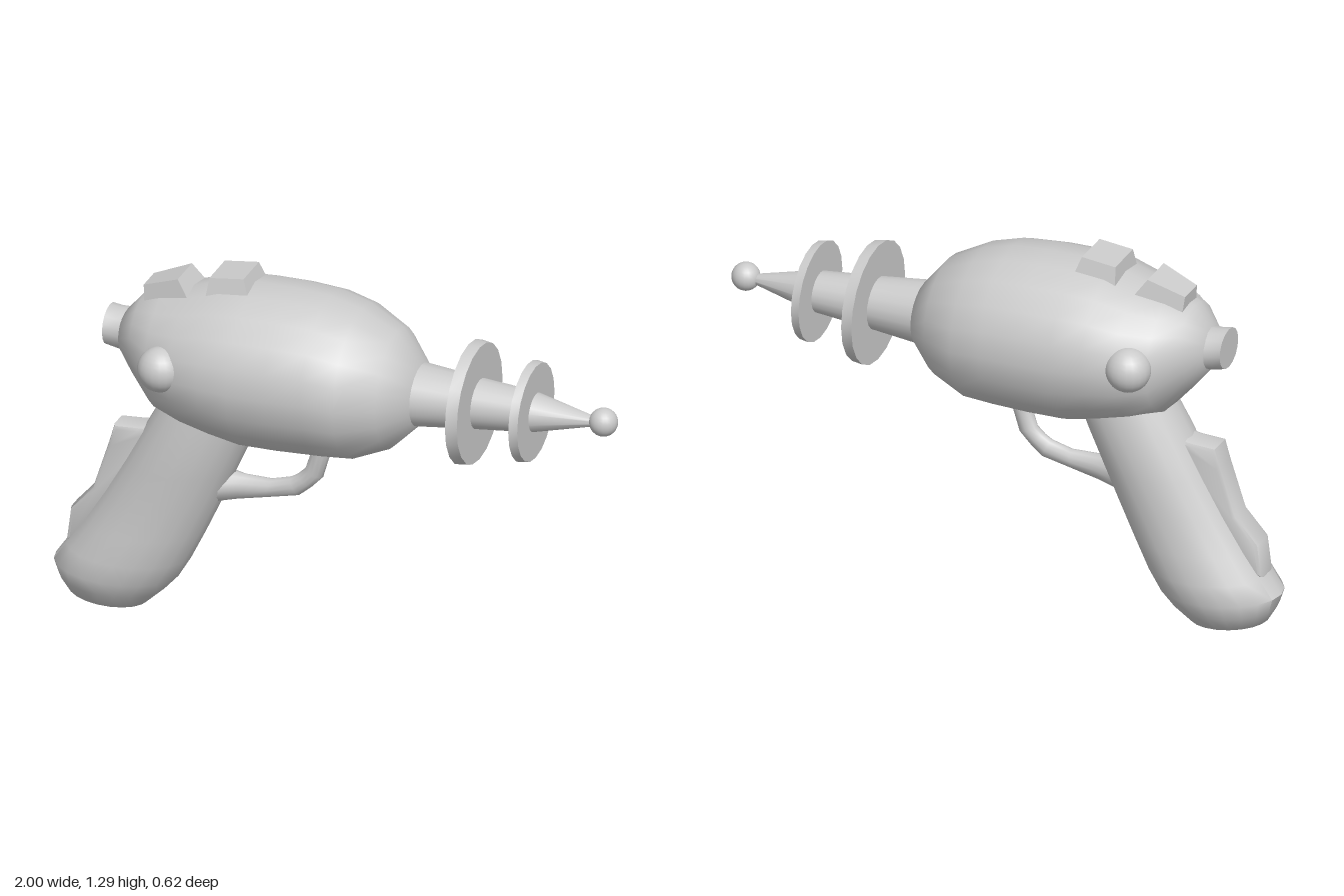
import * as THREE from 'three';
import { toCreasedNormals } from 'three/addons/utils/BufferGeometryUtils.js';

const material = new THREE.MeshStandardMaterial({ color: 0xcccccc });

function part(name, geometry, parent) {
  const mesh = new THREE.Mesh(geometry, material);
  mesh.name = name;
  parent.add(mesh);
  return mesh;
}

// Skin through elliptical rings [ax, ay, bx, by, halfWidth]: a and b are
// opposite points on the centre plane, halfWidth is measured along z.
function loft(rings, sides, crease = 0.9) {
  const pos = [], index = [];
  for (const [ax, ay, bx, by, w] of rings) {
    for (let j = 0; j < sides; j++) {
      const t = (j / sides) * Math.PI * 2;
      const c = Math.cos(t) / 2;
      pos.push((ax + bx) / 2 + c * (ax - bx), (ay + by) / 2 + c * (ay - by), Math.sin(t) * w);
    }
  }
  const last = rings.length - 1;
  for (let i = 0; i < last; i++) {
    for (let j = 0; j < sides; j++) {
      const k = (j + 1) % sides;
      const a = i * sides + j, b = i * sides + k;
      index.push(a, b, a + sides, b, b + sides, a + sides);
    }
  }
  // End caps
  for (const i of [0, last]) {
    const [ax, ay, bx, by] = rings[i];
    const centre = pos.length / 3;
    pos.push((ax + bx) / 2, (ay + by) / 2, 0);
    for (let j = 0; j < sides; j++) {
      const a = i * sides + j, b = i * sides + (j + 1) % sides;
      if (i === 0) index.push(centre, b, a);
      else index.push(centre, a, b);
    }
  }
  const g = new THREE.BufferGeometry();
  g.setAttribute('position', new THREE.Float32BufferAttribute(pos, 3));
  g.setIndex(index);
  return toCreasedNormals(g, crease);
}

// Box whose top is inset and whose rear end can be narrower
function taperedBlock(length, height, width, rearScale) {
  const g = new THREE.BoxGeometry(length, height, width);
  const p = g.attributes.position;
  for (let i = 0; i < p.count; i++) {
    const top = p.getY(i) > 0;
    const rear = p.getX(i) < 0 ? rearScale : 1;
    p.setX(i, p.getX(i) * (top ? 0.74 : 1));
    p.setZ(i, p.getZ(i) * (top ? 0.74 : 1) * rear);
  }
  return toCreasedNormals(g, 0.3);
}

export function createModel() {
  const group = new THREE.Group();

  // Egg-shaped body, each ring [x, top, bottom, half width]
  const body = [
    [-0.745, 1.085, 0.94, 0.085], [-0.68, 1.16, 0.86, 0.16],
    [-0.6, 1.19, 0.77, 0.228], [-0.5, 1.215, 0.738, 0.275],
    [-0.39, 1.25, 0.71, 0.3], [-0.28, 1.262, 0.686, 0.308],
    [-0.15, 1.262, 0.685, 0.307], [-0.02, 1.253, 0.688, 0.297],
    [0.09, 1.222, 0.695, 0.28], [0.215, 1.158, 0.745, 0.21],
    [0.302, 1.05, 0.832, 0.118],
  ];
  part('body', loft(body.map(([x, t, b, w]) => [x, t, x, b, w]), 20), group);

  // Rear plug
  part('rearPlug', loft([
    [-0.805, 1.095, -0.805, 0.955, 0.078],
    [-0.77, 1.09, -0.77, 0.947, 0.076],
    [-0.73, 1.09, -0.73, 0.94, 0.08],
  ], 16), group);

  // Barrel cone, discs and tip ball on one axis
  const axisY = 0.942;
  const barrelRing = ([x, r]) => [x, axisY + r, x, axisY - r, r * 1.07];
  const addRound = (name, profile) => part(name, loft(profile.map(barrelRing), 20, 0.6), group);
  addRound('barrel', [[0.28, 0.11], [0.49, 0.088], [0.7, 0.069]]);
  addRound('barrelCone', [[0.7, 0.069], [0.93, 0.014]]);
  addRound('largeDisc', [[0.47, 0.211], [0.51, 0.205]]);
  addRound('smallDisc', [[0.68, 0.172], [0.71, 0.167]]);
  part('tipBall', new THREE.SphereGeometry(0.049, 20, 14), group).position.set(0.951, 0.945, 0);

  // Side knobs
  for (const side of [1, -1]) {
    const knob = part(side > 0 ? 'leftKnob' : 'rightKnob', new THREE.SphereGeometry(0.078, 20, 14), group);
    knob.position.set(-0.54, 1.0, side * 0.233);
  }

  // Sight blocks on top
  const frontBlock = part('frontSight', taperedBlock(0.165, 0.09, 0.2, 1), group);
  frontBlock.position.set(-0.358, 1.247, 0);
  frontBlock.rotation.z = 0.12;
  const rearBlock = part('rearSight', taperedBlock(0.185, 0.09, 0.185, 0.72), group);
  rearBlock.position.set(-0.587, 1.192, 0);
  rearBlock.rotation.z = 0.36;

  // Grip, rings given front point then rear point
  const grip = new THREE.Group();
  grip.name = 'grip';
  grip.position.z = -0.01;
  group.add(grip);
  part('handle', loft([
    [-0.25, 0.8, -0.59, 0.84, 0.13],
    [-0.305, 0.675, -0.665, 0.7, 0.147],
    [-0.36, 0.55, -0.745, 0.55, 0.15],
    [-0.41, 0.435, -0.82, 0.42, 0.152],
    [-0.468, 0.31, -0.895, 0.3, 0.16],
    [-0.52, 0.205, -0.955, 0.215, 0.171],
    [-0.565, 0.13, -1.0, 0.15, 0.17],
    [-0.615, 0.075, -0.983, 0.1, 0.152],
    [-0.675, 0.02, -0.95, 0.045, 0.112],
    [-0.745, 0.005, -0.86, 0.025, 0.04],
  ], 20), grip);

  // Raised spine along the back of the handle
  const outline = [
    [-0.6, 0.69], [-0.695, 0.675], [-0.78, 0.67], [-0.8, 0.6], [-0.855, 0.43],
    [-0.935, 0.34], [-0.95, 0.22], [-0.85, 0.22], [-0.65, 0.5],
  ];
  const spine = new THREE.ExtrudeGeometry(
    new THREE.Shape(outline.map(([x, y]) => new THREE.Vector2(x, y))),
    { depth: 0.06, bevelEnabled: true, bevelSize: 0.015, bevelOffset: -0.015, bevelThickness: 0.02, bevelSegments: 2 });
  spine.translate(0, 0, -0.03);
  part('gripSpine', toCreasedNormals(spine, 0.7), grip);

  // Curved trigger bar from body to grip, flaring at the grip
  part('triggerBar', loft([
    [-0.01, 0.73, -0.08, 0.73, 0.03],
    [-0.02, 0.68, -0.087, 0.68, 0.03],
    [-0.05, 0.577, -0.113, 0.6, 0.027],
    [-0.09, 0.535, -0.14, 0.575, 0.027],
    [-0.135, 0.497, -0.165, 0.56, 0.027],
    [-0.25, 0.472, -0.235, 0.54, 0.029],
    [-0.35, 0.45, -0.33, 0.542, 0.036],
    [-0.41, 0.436, -0.37, 0.548, 0.055],
    [-0.48, 0.42, -0.43, 0.56, 0.08],
  ], 12), grip);

  return group;
}
